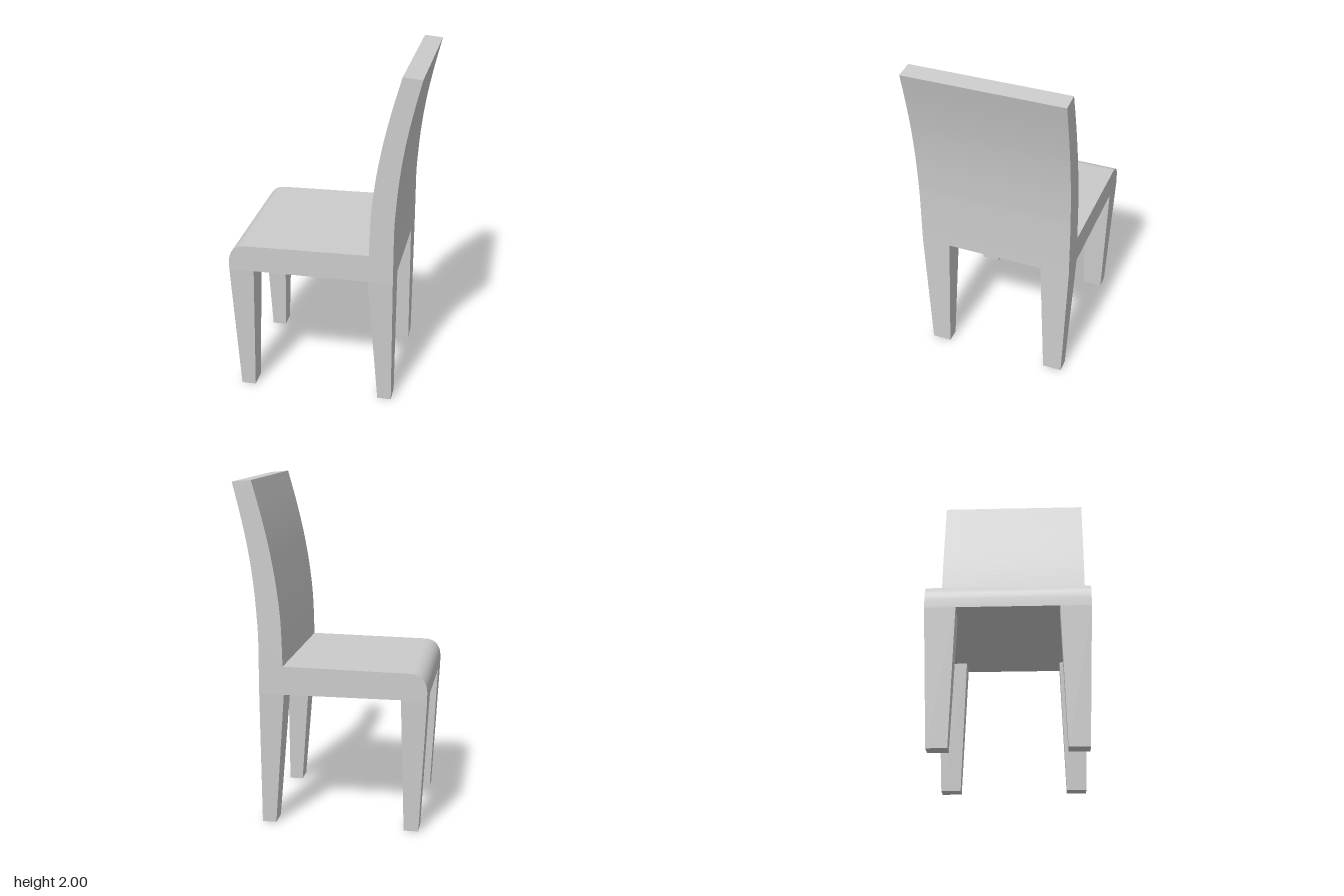
import * as THREE from 'three';
import { toCreasedNormals } from 'three/addons/utils/BufferGeometryUtils.js';

const HALF_WIDTH = 0.46;
const SEAT_BOTTOM = 0.79;

const material = new THREE.MeshStandardMaterial({ color: 0xcccccc });
const points = (list) => list.map(([x, y]) => new THREE.Vector2(x, y));

// Seat and curved backrest: one side profile extruded across the width
function createSeatAndBack() {
  const profile = new THREE.Shape();
  profile.moveTo(0.412, SEAT_BOTTOM);
  profile.lineTo(0.412, 1.1);
  profile.splineThru(points([[0.416, 1.2], [0.432, 1.4], [0.459, 1.6], [0.499, 1.8], [0.545, 1.99]]));
  profile.lineTo(0.437, 2);
  profile.splineThru(points([[0.382, 1.8], [0.336, 1.6], [0.302, 1.4], [0.281, 1.2], [0.273, 0.955]]));
  profile.lineTo(-0.45, 0.945);
  // rounded front edge
  profile.bezierCurveTo(-0.51, 0.945, -0.55, 0.905, -0.55, 0.84);
  profile.lineTo(-0.55, SEAT_BOTTOM);
  profile.closePath();

  const geometry = new THREE.ExtrudeGeometry(profile, {
    depth: 2 * HALF_WIDTH, bevelEnabled: false, curveSegments: 8,
  });
  geometry.translate(0, 0, -HALF_WIDTH);
  const mesh = new THREE.Mesh(toCreasedNormals(geometry, 0.5), material);
  mesh.name = 'seatAndBackrest';
  return mesh;
}

// Tapered leg: a box whose corners are moved to the top and bottom x and z ranges
function createLeg(name, topX, bottomX, side) {
  const geometry = new THREE.BoxGeometry(1, 1, 1);
  const position = geometry.attributes.position;
  const topZ = [0.287, HALF_WIDTH];
  const bottomZ = [0.315, 0.43];
  for (let i = 0; i < position.count; i++) {
    const top = position.getY(i) > 0;
    const x = (top ? topX : bottomX)[position.getX(i) > 0 ? 1 : 0];
    const outer = position.getZ(i) * side > 0;
    const z = side * (top ? topZ : bottomZ)[outer ? 1 : 0];
    position.setXYZ(i, x, top ? SEAT_BOTTOM : 0, z);
  }
  geometry.computeVertexNormals();
  const mesh = new THREE.Mesh(geometry, material);
  mesh.name = name;
  return mesh;
}

export function createModel() {
  const chair = new THREE.Group();
  chair.name = 'chair';
  chair.add(createSeatAndBack());
  for (const side of [-1, 1]) {
    chair.add(createLeg('seatEdgeLeg', [-0.55, -0.403], [-0.51, -0.425], side));
    chair.add(createLeg('backrestLeg', [0.268, 0.412], [0.33, 0.412], side));
  }
  return chair;
}
